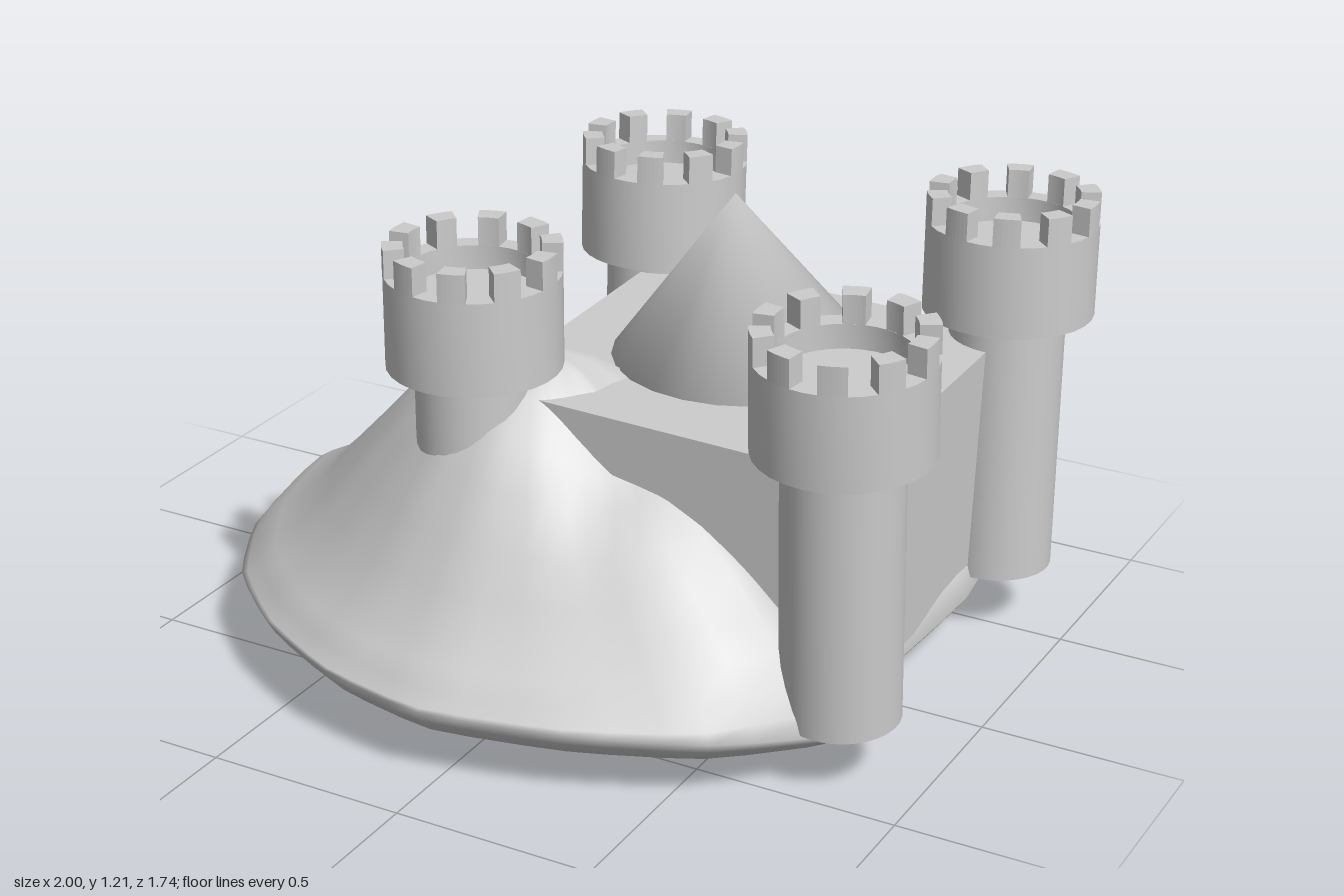
import * as THREE from 'three';
import { mergeVertices, toCreasedNormals } from 'three/addons/utils/BufferGeometryUtils.js';

const material = new THREE.MeshStandardMaterial({ color: 0xcccccc });

function part(name, geometry, parent) {
  const mesh = new THREE.Mesh(geometry, material);
  mesh.name = name;
  parent.add(mesh);
  return mesh;
}

// Piecewise linear lookup in a list of [t, value] pairs
function lookup(table, t) {
  let i = 1;
  while (i < table.length - 1 && t > table[i][0]) i++;
  const [t0, v0] = table[i - 1], [t1, v1] = table[i];
  return v0 + (v1 - v0) * (t - t0) / (t1 - t0);
}

// Soft bump of given height and spread around (x, z)
const bump = (p, height, x, z, sx, sz) => height * Math.exp(-(((p.x - x) / sx) ** 2) - ((p.z - z) / sz) ** 2);

// Hill: rings run from the peak out to an irregular rim, then in to the underside
function hillGeometry() {
  const rim = new THREE.CatmullRomCurve3([
    [-1, 0.16, -0.12], [-0.88, 0.17, -0.33], [-0.61, 0.18, -0.47], [-0.42, 0.18, -0.64],
    [-0.3, 0.18, -0.82], [0.02, 0.18, -0.775], [0.22, 0.19, -0.76], [0.4, 0.2, -0.8],
    [0.49, 0.2, -0.85], [0.71, 0.2, -0.87], [0.76, 0.17, -0.7], [0.8, 0.13, -0.36],
    [0.775, 0.12, 0.1], [0.84, 0.13, 0.37], [0.61, 0.17, 0.65], [0.31, 0.18, 0.79],
    [-0.03, 0.185, 0.865], [-0.32, 0.19, 0.81], [-0.57, 0.19, 0.68], [-0.78, 0.185, 0.49],
    [-0.93, 0.17, 0.22],
  ].map(p => new THREE.Vector3(...p)), true, 'catmullrom', 0.25);
  const n = 63;
  const peak = new THREE.Vector3(-0.08, 0.85, 0.23);
  const base = new THREE.Vector3(0.05, 0, 0);
  const frontSlope = [[0, 0.85], [0.12, 0.83], [0.23, 0.78], [0.36, 0.7], [0.48, 0.6], [0.67, 0.42],
    [0.81, 0.3], [0.92, 0.245], [1, 0.17]];
  const backSlope = [[0, 0.85], [0.1, 0.78], [0.3, 0.53], [0.5, 0.33], [0.65, 0.29], [0.8, 0.29],
    [0.92, 0.27], [1, 0.18]];
  const underside = [[0, 0], [0.3, 0.012], [0.5, 0.025], [0.8, 0.052], [0.94, 0.1], [1, 0.15]];
  const topRings = [0, 0.06, 0.14, 0.24, 0.36, 0.48, 0.6, 0.7, 0.8, 0.88, 0.94, 0.98, 1];
  const bottomRings = [0.98, 0.94, 0.8, 0.5, 0.25, 0];
  const positions = [], index = [];

  const addRing = (t, center, height) => {
    for (let i = 0; i < n; i++) {
      const r = rim.getPoint(i / n);
      const p = center.clone().lerp(r, t);
      p.y = t === 1 ? r.y : height(t, r, p);
      positions.push(p.x, p.y, p.z);
    }
  };
  topRings.forEach(t => addRing(t, peak, (t, r, p) => {
    const back = THREE.MathUtils.smoothstep(-r.z, 0.2, 0.75);
    const slope = THREE.MathUtils.lerp(lookup(frontSlope, t), lookup(backSlope, t), back);
    // low bank behind the keep, shoulder in front of it, dip beside the peak, swell at the front tower
    const bank = bump(p, 0.09, 0.52, -0.74, 0.26, 0.2) + bump(p, 0.075, 0.56, 0.42, 0.22, 0.2)
      - bump(p, 0.08, 0.18, 0.36, 0.12, 0.14) + bump(p, 0.03, -0.17, 0.48, 0.14, 0.1);
    return slope + bank * Math.min(1, (1 - t) * 10);
  }));
  bottomRings.forEach(t => addRing(t, base, (t, r) => lookup(underside, t) * r.y / 0.16));

  const rows = topRings.length + bottomRings.length;
  for (let j = 0; j < rows - 1; j++) {
    for (let i = 0; i < n; i++) {
      const k = (i + 1) % n;
      const a = j * n + i, b = j * n + k, c = a + n, d = b + n;
      if (j > 0) index.push(a, b, d);
      if (j < rows - 2) index.push(a, d, c);
      else index.push(a, b, c);
    }
  }
  const geometry = new THREE.BufferGeometry();
  geometry.setAttribute('position', new THREE.Float32BufferAttribute(positions, 3));
  geometry.setIndex(index);
  geometry.computeVertexNormals();
  return geometry;
}

// Roof: cone with its tip drawn towards the front, smooth all over
function roofGeometry() {
  const geometry = new THREE.ConeGeometry(0.32, 0.425, 24).translate(0, 0.2125, 0);
  const position = geometry.attributes.position;
  for (let i = 0; i < position.count; i++) {
    position.setZ(i, position.getZ(i) + 0.15 * position.getY(i));
  }
  geometry.deleteAttribute('uv');
  geometry.deleteAttribute('normal');
  const smooth = mergeVertices(geometry);
  smooth.computeVertexNormals();
  return smooth;
}

// Tower: turned shaft and recessed head, with a ring of merlons
const MERLONS = 10;
function towerGeometry() {
  const profile = [[0, 0], [0.142, 0], [0.142, 0.67], [0.209, 0.67], [0.209, 0.9],
    [0.16, 0.9], [0.16, 0.84], [0, 0.84]].map(p => new THREE.Vector2(...p));
  return toCreasedNormals(new THREE.LatheGeometry(profile, 30), 0.6);
}

function merlonGeometry() {
  const half = Math.PI / MERLONS / 2;
  const shape = new THREE.Shape();
  shape.absarc(0, 0, 0.209, -half, half, false);
  shape.absarc(0, 0, 0.16, half, -half, true);
  const geometry = new THREE.ExtrudeGeometry(shape, { depth: 0.07, bevelEnabled: false, curveSegments: 3 });
  return geometry.rotateX(-Math.PI / 2).translate(0, 0.9, 0);
}

export function createModel() {
  const model = new THREE.Group();
  model.name = 'castleOnHill';

  part('hill', hillGeometry(), model);

  // Keep, leaning very slightly
  const keep = part('keep', new THREE.BoxGeometry(0.95, 0.61, 0.91), model);
  keep.position.set(0.31, 0.467, -0.1);
  keep.rotation.set(0.02, 0, -0.025);

  const roof = part('roof', roofGeometry(), model);
  roof.position.set(0.307, 0.785, -0.095);

  // Corner towers: x, base height, z, lean about x, lean about z
  const shaft = towerGeometry(), merlon = merlonGeometry();
  const corners = [
    ['frontLeftTower', 0.79, 0.16, 0.35, 0.045, 0],
    ['frontRightTower', -0.17, 0.16, 0.355, 0.005, 0],
    ['backLeftTower', 0.79, 0.16, -0.55, -0.015, 0.005],
    ['backRightTower', -0.17, 0.145, -0.545, -0.03, 0],
  ];
  for (const [name, x, y, z, leanX, leanZ] of corners) {
    const tower = new THREE.Group();
    tower.name = name;
    tower.position.set(x, y, z);
    tower.rotation.set(leanX, 0, leanZ);
    part('towerBody', shaft, tower);
    for (let i = 0; i < MERLONS; i++) {
      part('merlon', merlon, tower).rotation.y = (i / MERLONS) * Math.PI * 2;
    }
    model.add(tower);
  }
  return model;
}
